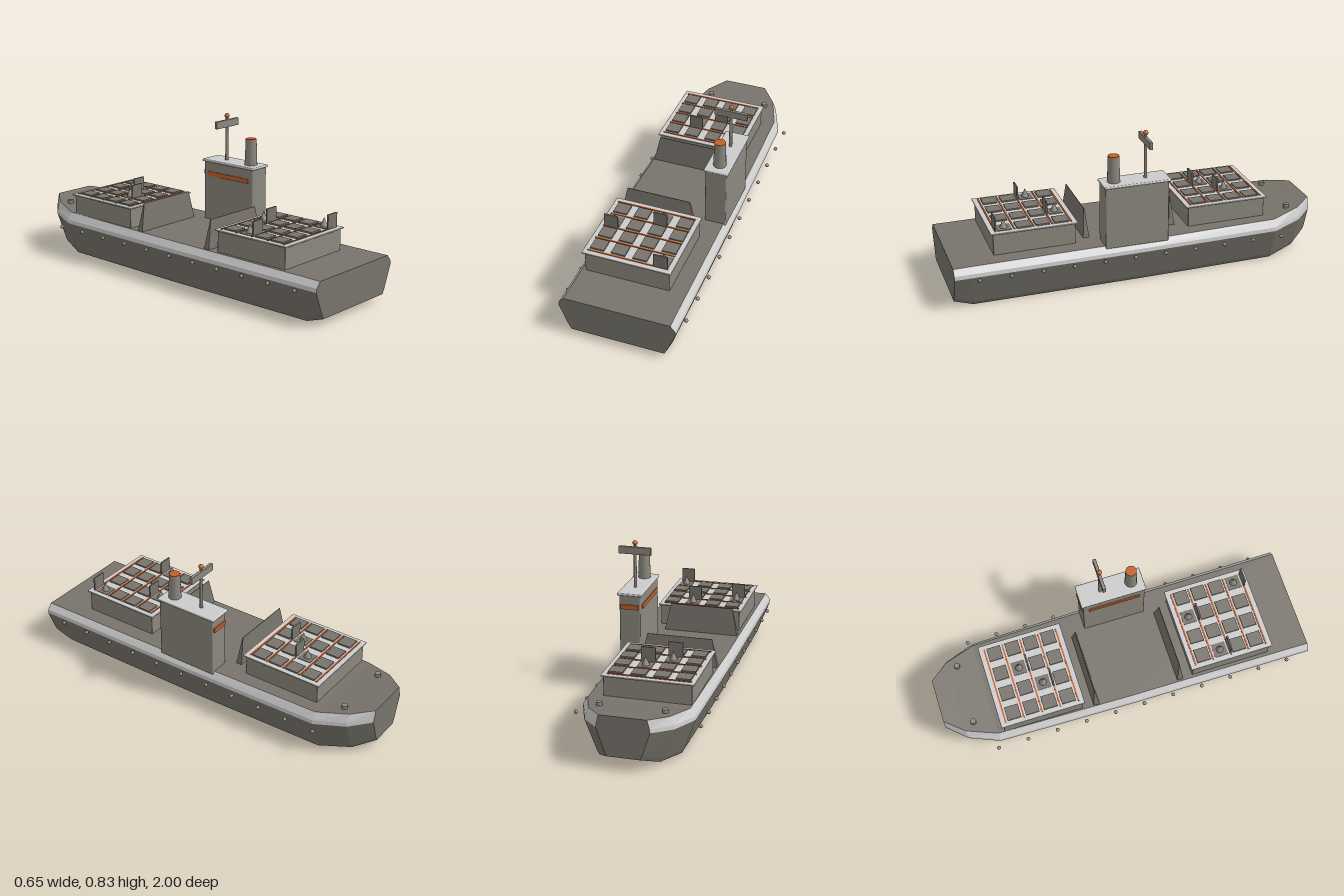
import * as THREE from 'three';
import { RoundedBoxGeometry } from 'three/addons/geometries/RoundedBoxGeometry.js';

const paint = (color) => new THREE.MeshStandardMaterial({ color });
const light = paint(0xcccccc);
const dark = paint(0x78746c);
const mid = paint(0x8c887e);
const orange = paint(0xc0602a);
const hullPaint = dark.clone();
hullPaint.flatShading = true;
const beltPaint = light.clone();
beltPaint.flatShading = true;

function add(parent, name, geometry, material, x = 0, y = 0, z = 0) {
  const mesh = new THREE.Mesh(geometry, material);
  mesh.name = name;
  mesh.position.set(x, y, z);
  parent.add(mesh);
  return mesh;
}

// Box given by its minimum and maximum corners
function box(parent, name, material, [x0, y0, z0], [x1, y1, z1], radius = 0) {
  const size = [x1 - x0, y1 - y0, z1 - z0];
  const geometry = radius ? new RoundedBoxGeometry(...size, 2, radius) : new THREE.BoxGeometry(...size);
  return add(parent, name, geometry, material, (x0 + x1) / 2, (y0 + y1) / 2, (z0 + z1) / 2);
}

// Hull cross-sections, stern to bow: z, keel y, bottom, beam and deck half widths, beam y, deck y
const stations = [
  [1, 0.035, 0.245, 0.306, 0.278, 0.18, 0.23],
  [0.9, 0, 0.24, 0.305, 0.277, 0.18, 0.231],
  [0, 0, 0.235, 0.3, 0.272, 0.182, 0.236],
  [-0.74, 0, 0.215, 0.285, 0.258, 0.184, 0.242],
  [-0.9, 0.022, 0.15, 0.222, 0.2, 0.2, 0.264],
  [-1, 0.07, 0.08, 0.132, 0.118, 0.215, 0.28],
];

function hullRing([z, keel, bottom, beam, deck, beamY, deckY]) {
  const half = [
    [bottom, keel],
    [bottom + 0.012, keel + 0.022],
    [beam, beamY],
    [beam - 0.003, beamY + 0.02],
    [deck, deckY],
  ];
  const other = half.map(([x, y]) => [-x, y]).reverse();
  return [...half, ...other].map(([x, y]) => [x, y, z]);
}

// Skin the chosen strips of the rings, with optional end caps
function loft(rings, strips, caps) {
  const out = [];
  const n = rings[0].length;
  const tri = (...corners) => corners.forEach((p) => out.push(...p));
  for (let i = 0; i < rings.length - 1; i++) {
    for (const j of strips) {
      const k = (j + 1) % n;
      const a = rings[i][j], b = rings[i][k], c = rings[i + 1][k], d = rings[i + 1][j];
      tri(a, d, c);
      tri(a, c, b);
    }
  }
  if (caps) {
    const first = rings[0], last = rings[rings.length - 1];
    for (let j = 1; j < n - 1; j++) {
      tri(first[0], first[j], first[j + 1]);
      tri(last[0], last[j + 1], last[j]);
    }
  }
  const geometry = new THREE.BufferGeometry();
  geometry.setAttribute('position', new THREE.Float32BufferAttribute(out, 3));
  geometry.computeVertexNormals();
  return geometry;
}

// Launcher block: rim, stripes, hatch grid, with some hatches open
function launcher(name, z0, z1, open) {
  const g = new THREE.Group();
  g.name = name;
  const columns = [-0.205, -0.093, 0.022, 0.137];
  const centre = (z0 + z1) / 2;
  box(g, 'launcherBlock', mid, [-0.258, 0.22, z0 + 0.012], [0.19, 0.346, z1 - 0.012], 0.004);
  box(g, 'launcherRim', light, [-0.27, 0.345, z0], [0.2, 0.353, z1], 0.003);
  for (let i = 0; i < 5; i++) {
    const z = centre + (i - 2) * 0.099;
    box(g, 'stripe', orange, [-0.25, 0.352, z - 0.004], [0.175, 0.357, z + 0.004]);
  }
  for (let row = 0; row < 4; row++) {
    const z = centre + (row - 1.5) * 0.099;
    columns.forEach((x, col) => {
      const isOpen = open.some(([c, r]) => c === col && r === row);
      box(g, isOpen ? 'hatchWell' : 'hatchLid', dark,
        [x - 0.037, 0.352, z - 0.037], [x + 0.037, isOpen ? 0.356 : 0.361, z + 0.037]);
      if (!isOpen) return;
      box(g, 'openLid', dark, [x - 0.037, 0.355, z + 0.045], [x + 0.037, 0.43, z + 0.053]);
      add(g, 'warhead', new THREE.ConeGeometry(0.02, 0.046, 12), mid, x, 0.379, z);
    });
  }
  return g;
}

// Upright deflector, tapering to a thin ridge
function deflector(z) {
  const geometry = new THREE.BoxGeometry(0.41, 0.155, 0.034);
  const p = geometry.attributes.position;
  for (let i = 0; i < p.count; i++) {
    if (p.getY(i) > 0) p.setXYZ(i, p.getX(i) * 0.84, p.getY(i), p.getZ(i) * 0.1);
  }
  geometry.computeVertexNormals();
  const mesh = new THREE.Mesh(geometry, dark);
  mesh.name = 'blastDeflector';
  mesh.position.set(-0.06, 0.307, z);
  return mesh;
}

export function createModel() {
  const ship = new THREE.Group();
  ship.name = 'ship';

  // Hull shell with deck and bottom, then the pale belt along the deck edge
  const rings = stations.map(hullRing);
  add(ship, 'hull', loft(rings, [0, 1, 4, 7, 8, 9], true), hullPaint);
  add(ship, 'deckEdgeBelt', loft(rings, [2, 3, 5, 6], false), beltPaint);

  // Side knobs and bow bollards
  const knob = new THREE.SphereGeometry(0.0105, 12, 8);
  for (const side of [-1, 1]) {
    for (let i = 0; i < 11; i++) {
      add(ship, 'sideKnob', knob, mid, side * 0.313, 0.165, 0.875 - i * 0.1635);
    }
    add(ship, 'bollard', new THREE.CylinderGeometry(0.016, 0.016, 0.03, 8), mid, side * 0.163, 0.262, -0.85);
  }

  // Launchers and deflectors; open hatches are column, row
  ship.add(launcher('aftLauncher', 0.331, 0.787, [[2, 0], [0, 1], [3, 3]]));
  ship.add(launcher('foreLauncher', -0.717, -0.261, [[2, 1], [1, 2]]));
  ship.add(deflector(0.274), deflector(-0.197));

  // Bridge tower with roof and window bands
  const tower = new THREE.Group();
  tower.name = 'tower';
  ship.add(tower);
  box(tower, 'towerBody', mid, [0.17, 0.22, -0.13], [0.284, 0.558, 0.21], 0.006);
  box(tower, 'towerRoof', light, [0.163, 0.555, -0.14], [0.293, 0.569, 0.216], 0.005);
  box(tower, 'foreWindow', orange, [0.18, 0.482, -0.138], [0.274, 0.506, -0.125]);
  box(tower, 'sideWindow', orange, [0.164, 0.48, -0.1], [0.175, 0.504, 0.18]);

  // Funnel
  add(tower, 'funnel', new THREE.CylinderGeometry(0.029, 0.034, 0.14, 16), mid, 0.228, 0.635, 0.15);
  add(tower, 'funnelTop', new THREE.CylinderGeometry(0.029, 0.029, 0.006, 16), orange, 0.228, 0.707, 0.15);

  // Mast, radar bar and beacon
  add(tower, 'mast', new THREE.CylinderGeometry(0.007, 0.009, 0.24, 10), mid, 0.228, 0.685, -0.02);
  box(tower, 'radarBar', mid, [0.139, 0.75, -0.03], [0.316, 0.79, -0.012], 0.003);
  add(tower, 'beacon', new THREE.SphereGeometry(0.0135, 16, 12), orange, 0.228, 0.812, -0.02);

  return ship;
}
